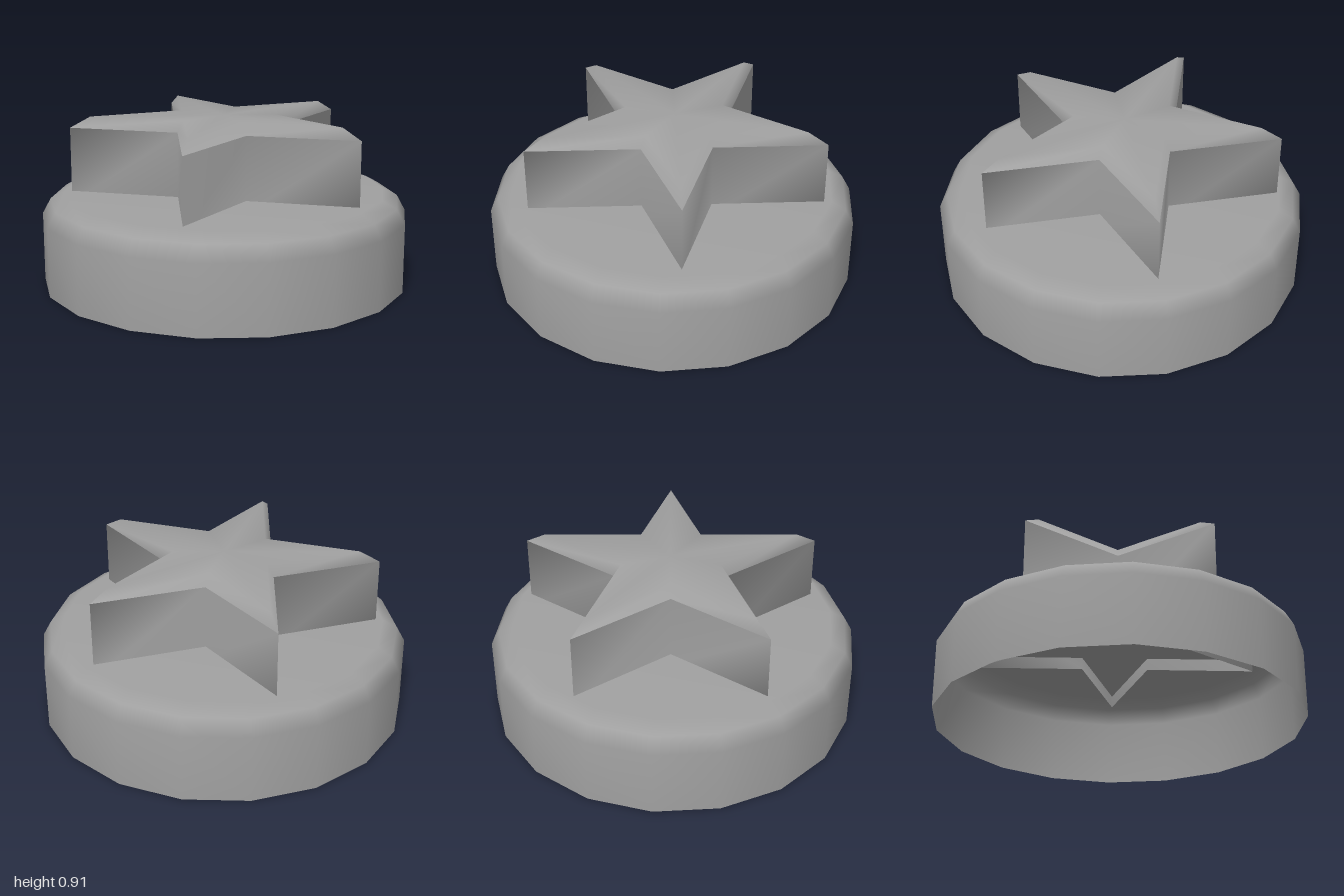
import * as THREE from 'three';
import { mergeVertices } from 'three/addons/utils/BufferGeometryUtils.js';

const material = new THREE.MeshStandardMaterial({ color: 0xa0a0a0, side: THREE.DoubleSide });

const STAR_R = 0.83;    // tip radius
const STAR_Z = -0.02;   // star centre
const INNER = 0.382;    // notch radius relative to the tips

// Ten corners of a five-pointed star at height y, first tip to the back
function starRing(scale, y) {
  return Array.from({ length: 10 }, (_, k) => {
    const a = (k * Math.PI) / 5;
    const r = STAR_R * scale * (k % 2 ? INNER : 1);
    return [r * Math.sin(a), y, STAR_Z - r * Math.cos(a)];
  });
}

// Band of quads between two rings, facing outward
function band(low, high) {
  return low.flatMap((b, k) => {
    const n = (k + 1) % low.length;
    return [low[n], b, high[k], low[n], high[k], high[n]];
  });
}

// Upward-facing fan closing a ring
function fan(ring, centre) {
  return ring.flatMap((p, k) => [centre, ring[(k + 1) % ring.length], p]);
}

// Weld the corners and shade them softly, weighted by face area
function smooth(geometry) {
  geometry.deleteAttribute('normal');
  geometry.deleteAttribute('uv');
  const welded = mergeVertices(geometry);
  welded.computeVertexNormals();
  return welded;
}

function fromPoints(points) {
  const g = new THREE.BufferGeometry();
  g.setAttribute('position', new THREE.Float32BufferAttribute(points.flat(), 3));
  return g;
}

export function createModel() {
  const group = new THREE.Group();
  const add = (name, geometry) => {
    const mesh = new THREE.Mesh(smooth(geometry), material);
    mesh.name = name;
    group.add(mesh);
  };

  // Hollow round base, open below, with a rounded upper rim
  const profile = [[1, 0], [1, 0.375], [0.955, 0.457], [0.875, 0.5], [0, 0.5]]
    .map(([x, y]) => new THREE.Vector2(x, y));
  add('base', new THREE.LatheGeometry(profile, 18, Math.PI / 2));

  // Star walls, reaching a little below the base's top plate
  const shoulder = starRing(1, 0.85);
  add('starWalls', fromPoints(band(starRing(1, 0.43), shoulder)));

  // Bevelled star top, softly shaded into its flat face
  const crown = starRing(0.868, 0.91);
  add('starTop', fromPoints([...band(shoulder, crown), ...fan(crown, [0, 0.91, STAR_Z])]));

  return group;
}
